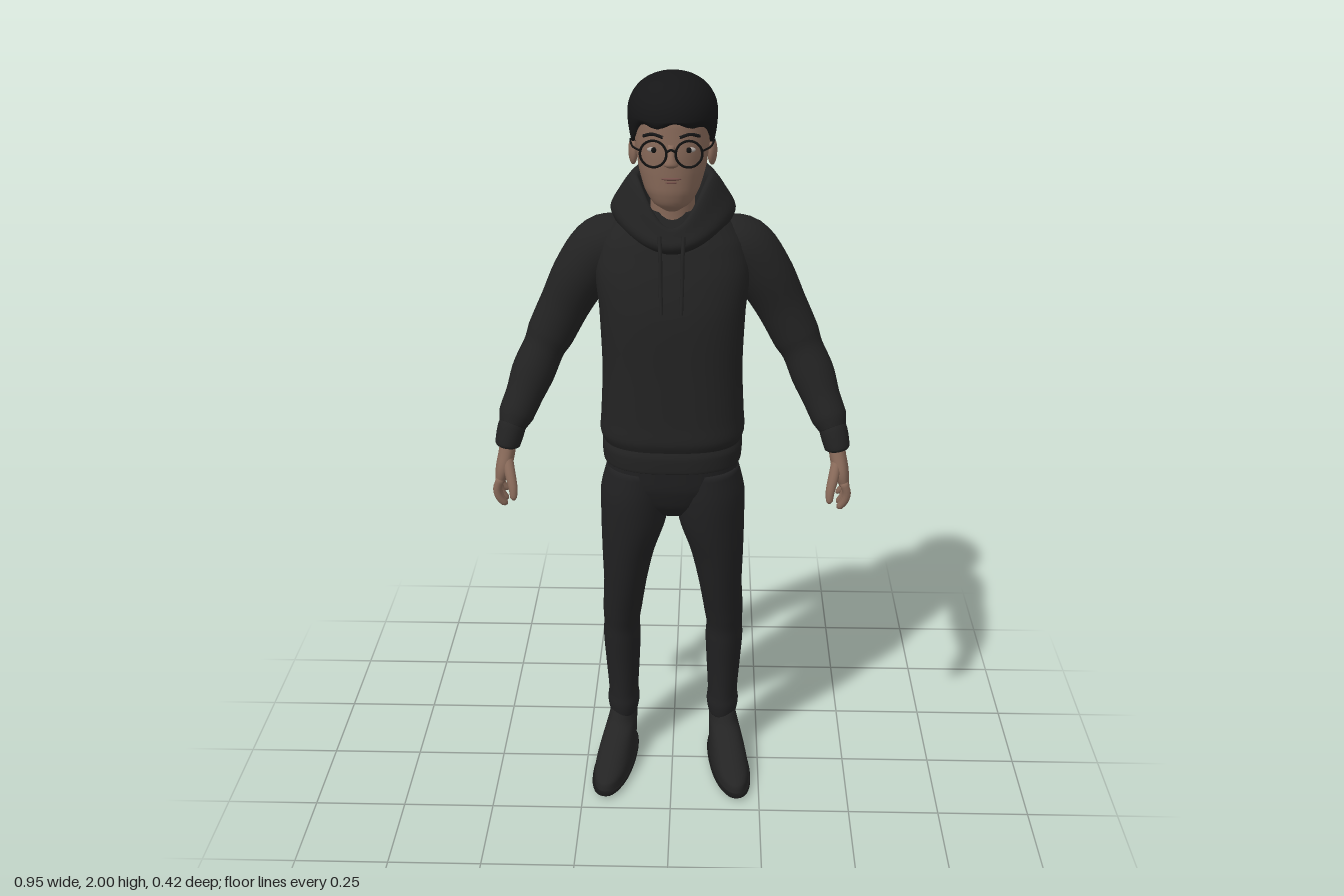
import * as THREE from 'three';

const mat = (name, color) => {
  const m = new THREE.MeshStandardMaterial({ color, side: THREE.DoubleSide });
  m.name = name;
  return m;
};
const V = (x, y, z) => new THREE.Vector3(x, y, z);

// Surface from rings of equal length; the ends can be closed with a fan.
function loft(rings, caps = true) {
  const n = rings[0].length, pos = [], idx = [];
  rings.forEach(r => r.forEach(p => pos.push(p.x, p.y, p.z)));
  for (let j = 0; j < rings.length - 1; j++) {
    for (let i = 0; i < n; i++) {
      const a = j * n + i, b = j * n + (i + 1) % n;
      idx.push(a, b, a + n, b, b + n, a + n);
    }
  }
  if (caps) {
    [0, rings.length - 1].forEach((j, end) => {
      const c = V(0, 0, 0);
      rings[j].forEach(p => c.addScaledVector(p, 1 / n));
      const k = pos.length / 3;
      pos.push(c.x, c.y, c.z);
      for (let i = 0; i < n; i++) {
        const a = j * n + i, b = j * n + (i + 1) % n;
        end ? idx.push(a, b, k) : idx.push(b, a, k);
      }
    });
  }
  const g = new THREE.BufferGeometry();
  g.setAttribute('position', new THREE.Float32BufferAttribute(pos, 3));
  g.setIndex(idx);
  g.computeVertexNormals();
  return g;
}

// Sweep through sections [x, y, z, half width, half depth]; s mirrors x.
function sweep(sections, { s = 1, flat = false, power = 2, sides = 28, steps = 5 } = {}) {
  const path = new THREE.CatmullRomCurve3(sections.map(p => V(p[0] * s, p[1], p[2])));
  const size = new THREE.CatmullRomCurve3(sections.map(p => V(p[3], p[4], 0)));
  const up = Math.sign(sections[sections.length - 1][1] - sections[0][1]);
  const count = (sections.length - 1) * steps, rings = [];
  const bend = v => Math.sign(v) * Math.abs(v) ** (2 / power);
  for (let j = 0; j <= count; j++) {
    const t = j / count, c = path.getPoint(t), r = size.getPoint(t);
    const T = flat ? V(0, up, 0) : path.getTangent(t);
    const U = V(0, 0, 1).addScaledVector(T, -T.z).normalize();
    const W = T.clone().cross(U);
    rings.push(Array.from({ length: sides }, (_, i) => {
      const a = i / sides * Math.PI * 2;
      return c.clone().addScaledVector(U, bend(Math.cos(a)) * r.y)
        .addScaledVector(W, bend(Math.sin(a)) * r.x);
    }));
  }
  return loft(rings);
}

const tube = (pts, r) => new THREE.TubeGeometry(
  new THREE.CatmullRomCurve3(pts.map(p => V(...p))), 16, r, 8);

// Hair cap whose lower edge rises over the face and falls at the nape.
function hairGeometry() {
  const rings = [], n = 64;
  for (let j = 0; j <= 19; j++) {
    const th = Math.min(j, 18) / 18 * 2.6 + 0.02, low = Math.max(0, (th - Math.PI / 2) / 1.05);
    rings.push(Array.from({ length: n }, (_, i) => {
      const a = i / n * Math.PI * 2, f = Math.cos(a);
      const edge = f > 0 ? 1.822 + 0.066 * Math.min(1, f * 1.25) + 0.01 * Math.sin(a * 7 + 1) * f
        : 1.822 - 0.045 * f * f;
      const y = low ? 1.905 - low * (1.905 - edge) : 1.905 + 0.095 * Math.cos(th);
      let r = low ? 1 - (f < 0 ? 0.1 - 0.2 * f : 0.1) * low * low : Math.sin(th) ** 0.9;
      if (j === 19) r *= 0.75;
      return V(Math.sin(a) * 0.112 * r, y, -0.019 + f * 0.141 * r);
    }));
  }
  return loft(rings.reverse());
}

// Lowered hood: tucked base, swollen back, tilted rim and inner lining.
function hoodGeometry() {
  // rows: [half width, front z, back z, front y, side y, back y]
  const rows = [
    [0.125, 0.07, -0.14, 1.56, 1.60, 1.55],
    [0.15, 0.092, -0.18, 1.575, 1.625, 1.575],
    [0.16, 0.098, -0.205, 1.59, 1.655, 1.64],
    [0.14, 0.09, -0.19, 1.61, 1.695, 1.71],
    [0.105, 0.08, -0.145, 1.63, 1.742, 1.78],
    [0.088, 0.07, -0.12, 1.63, 1.74, 1.778],
    [0.075, 0.055, -0.085, 1.60, 1.68, 1.70],
    [0.06, 0.03, -0.06, 1.57, 1.62, 1.62]
  ];
  const n = 48;
  const curves = Array.from({ length: n }, (_, i) => {
    const a = i / n * Math.PI * 2, f = Math.cos(a);
    return new THREE.CatmullRomCurve3(rows.map(([w, zf, zb, yf, ys, yb]) => V(
      Math.sin(a) * w * (1 - 0.12 * Math.max(0, f)),
      ys + ((f > 0 ? yf : yb) - ys) * f * f,
      (zf + zb) / 2 + f * (zf - zb) / 2)));
  });
  return loft(Array.from({ length: 29 }, (_, j) => curves.map(c => c.getPoint(j / 28))), false);
}

export function createModel() {
  const model = new THREE.Group();
  model.name = 'standingMan';
  const skin = mat('skin', 0x866858), cloth = mat('hoodieCloth', 0x222222);
  const denim = mat('trouserCloth', 0x212122), shoe = mat('shoeFabric', 0x242424);
  const sole = mat('shoeSole', 0x191919), hair = mat('hair', 0x161617);
  const frame = mat('glassesFrame', 0x111111), lip = mat('lips', 0x75504a);
  const white = mat('eyeWhite', 0xa8a09a);
  const add = (name, geometry, material) => {
    const m = new THREE.Mesh(geometry, material);
    m.name = name;
    model.add(m);
    return m;
  };
  const ball = (name, m, x, y, z, a, b, c) => {
    const o = add(name, new THREE.SphereGeometry(1, 20, 14), m);
    o.position.set(x, y, z);
    o.scale.set(a, b, c);
    return o;
  };

  // Head and neck
  add('head', sweep([
    [0, 1.675, 0.045, 0.02, 0.03], [0, 1.695, 0.045, 0.048, 0.06],
    [0, 1.73, 0.028, 0.07, 0.09], [0, 1.78, 0.008, 0.085, 0.112],
    [0, 1.84, -0.005, 0.093, 0.124], [0, 1.9, -0.01, 0.094, 0.122],
    [0, 1.96, -0.015, 0.06, 0.08]], { flat: true, power: 2.2 }), skin);
  add('neck', sweep([[0, 1.58, -0.03, 0.07, 0.075], [0, 1.66, -0.02, 0.056, 0.06],
    [0, 1.78, -0.02, 0.058, 0.065]], { flat: true }), skin);
  add('nose', sweep([[0, 1.85, 0.113, 0.008, 0.01], [0, 1.82, 0.121, 0.012, 0.016],
    [0, 1.803, 0.122, 0.018, 0.018], [0, 1.795, 0.115, 0.01, 0.008]], { flat: true }), skin);
  ball('upperLip', lip, 0, 1.767, 0.113, 0.026, 0.005, 0.009);
  ball('lowerLip', lip, 0, 1.758, 0.11, 0.022, 0.006, 0.01);
  add('hair', hairGeometry(), hair);

  // Hoodie body, hem and hood
  add('hoodieBody', sweep([
    [0, 1.04, -0.003, 0.18, 0.145], [0, 1.075, -0.003, 0.192, 0.156],
    [0, 1.12, -0.004, 0.189, 0.152], [0, 1.25, -0.008, 0.184, 0.147],
    [0, 1.4, -0.016, 0.19, 0.145], [0, 1.5, -0.03, 0.2, 0.134],
    [0, 1.575, -0.045, 0.185, 0.12], [0, 1.625, -0.05, 0.145, 0.1],
    [0, 1.66, -0.045, 0.09, 0.075]], { flat: true, power: 2.6, sides: 48 }), cloth);
  add('hoodieHem', sweep([
    [0, 0.985, -0.003, 0.172, 0.14], [0, 0.992, -0.003, 0.184, 0.153],
    [0, 1.03, -0.003, 0.187, 0.154], [0, 1.055, -0.003, 0.18, 0.146]],
    { flat: true, power: 2.6, sides: 48 }), cloth);
  add('hood', hoodGeometry(), cloth);

  // Trouser seat
  add('trouserSeat', sweep([
    [0, 0.82, -0.02, 0.05, 0.07], [0, 0.86, -0.018, 0.13, 0.1],
    [0, 0.92, -0.016, 0.178, 0.12], [0, 1.03, -0.01, 0.172, 0.127]],
    { flat: true, power: 2.4, sides: 40 }), denim);

  // Glasses bridge
  add('glassesBridge', tube([[-0.012, 1.838, 0.14], [0, 1.844, 0.143], [0.012, 1.838, 0.14]], 0.003), frame);

  for (const s of [1, -1]) {
    const side = s > 0 ? 'left' : 'right';
    const limb = (name, pts, m, o = {}) => add(side + name, sweep(pts, { s, ...o }), m);

    // Face details
    ball(side + 'Ear', skin, s * 0.099, 1.805, -0.015, 0.011, 0.034, 0.021).rotation.y = s * -0.3;
    ball(side + 'EyeWhite', white, s * 0.042, 1.836, 0.103, 0.017, 0.007, 0.008);
    ball(side + 'Iris', frame, s * 0.042, 1.836, 0.109, 0.007, 0.007, 0.004);
    add(side + 'Eyebrow', tube([[s * 0.02, 1.868, 0.116], [s * 0.045, 1.874, 0.107],
      [s * 0.068, 1.866, 0.089]], 0.004), hair);
    const rim = add(side + 'GlassesRim', new THREE.TorusGeometry(0.032, 0.003, 8, 36), frame);
    rim.position.set(s * 0.043, 1.833, 0.136);
    rim.rotation.y = s * 0.1;
    add(side + 'GlassesTemple', tube([[s * 0.075, 1.84, 0.132], [s * 0.094, 1.84, 0.09],
      [s * 0.104, 1.838, 0], [s * 0.1, 1.815, -0.035]], 0.0025), frame);

    // Drawstring
    add(side + 'Drawstring', tube([[s * 0.03, 1.615, 0.09], [s * 0.028, 1.57, 0.105],
      [s * 0.027, 1.5, 0.116], [s * 0.025, 1.425, 0.134]], 0.005), cloth);

    // Sleeve with elbow folds and ribbed cuff
    limb('Sleeve', [
      [0.11, 1.565, -0.065, 0.065, 0.08], [0.18, 1.54, -0.068, 0.083, 0.088],
      [0.235, 1.475, -0.068, 0.077, 0.083], [0.285, 1.385, -0.067, 0.067, 0.07],
      [0.325, 1.305, -0.06, 0.063, 0.066], [0.345, 1.265, -0.05, 0.056, 0.06],
      [0.368, 1.215, -0.033, 0.058, 0.06], [0.395, 1.15, -0.003, 0.05, 0.053],
      [0.415, 1.105, 0.02, 0.047, 0.05], [0.426, 1.075, 0.034, 0.035, 0.042]], cloth);
    limb('Cuff', [[0.422, 1.09, 0.028, 0.034, 0.04], [0.428, 1.07, 0.037, 0.037, 0.044],
      [0.438, 1.03, 0.052, 0.033, 0.042], [0.439, 1.025, 0.053, 0.025, 0.032]], cloth);

    // Hand
    limb('Palm', [[0.434, 1.05, 0.046, 0.021, 0.028], [0.44, 1.01, 0.058, 0.022, 0.034],
      [0.449, 0.97, 0.066, 0.021, 0.043], [0.458, 0.937, 0.068, 0.014, 0.04]],
      skin, { power: 2.3 });
    for (let i = 0; i < 4; i++) {
      const z = 0.102 - i * 0.023, len = [0.07, 0.08, 0.075, 0.058][i], y = 0.95;
      limb('Finger' + (i + 1), [[0.455, y, z, 0.011, 0.012],
        [0.464, y - len * 0.4, z + 0.002, 0.011, 0.011],
        [0.459, y - len * 0.75, z + 0.002, 0.01, 0.01],
        [0.447, y - len, z, 0.008, 0.008], [0.443, y - len - 0.005, z, 0.003, 0.003]],
        skin, { sides: 12, steps: 3 });
    }
    limb('Thumb', [[0.436, 1.0, 0.075, 0.014, 0.016], [0.427, 0.97, 0.108, 0.014, 0.015],
      [0.418, 0.94, 0.131, 0.012, 0.012], [0.416, 0.915, 0.141, 0.009, 0.009],
      [0.416, 0.908, 0.143, 0.003, 0.003]], skin, { sides: 14, steps: 3 });

    // Trouser leg with soft folds at knee and ankle
    limb('TrouserLeg', [
      [0.092, 0.96, -0.016, 0.085, 0.115], [0.1, 0.88, -0.015, 0.096, 0.118],
      [0.107, 0.79, -0.015, 0.09, 0.11], [0.123, 0.69, -0.022, 0.073, 0.1],
      [0.134, 0.58, -0.033, 0.06, 0.088], [0.144, 0.48, -0.053, 0.055, 0.083],
      [0.147, 0.43, -0.058, 0.051, 0.076], [0.147, 0.39, -0.064, 0.053, 0.078],
      [0.146, 0.29, -0.069, 0.048, 0.072], [0.145, 0.2, -0.067, 0.043, 0.066],
      [0.145, 0.17, -0.066, 0.046, 0.067], [0.145, 0.135, -0.065, 0.041, 0.062],
      [0.145, 0.125, -0.065, 0.034, 0.052]], denim, { flat: true });

    // Shoe and sole, toes turned out
    const toeOut = g => {
      const p = g.attributes.position;
      for (let i = 0; i < p.count; i++) {
        p.setX(i, p.getX(i) + s * 0.13 * (p.getZ(i) + 0.06));
      }
      g.computeVertexNormals();
      return g;
    };
    add(side + 'Shoe', toeOut(sweep([
      [0.152, 0.015, 0.037, 0.052, 0.166], [0.152, 0.04, 0.033, 0.051, 0.162],
      [0.151, 0.065, 0.005, 0.048, 0.133], [0.149, 0.09, -0.025, 0.044, 0.1],
      [0.147, 0.115, -0.052, 0.04, 0.07], [0.146, 0.15, -0.062, 0.034, 0.054]],
      { s, flat: true, power: 2.2, sides: 36 })), shoe);
    add(side + 'Sole', toeOut(sweep([
      [0.152, 0, 0.037, 0.05, 0.162], [0.152, 0.006, 0.037, 0.053, 0.168],
      [0.152, 0.018, 0.037, 0.053, 0.168]],
      { s, flat: true, power: 2.2, sides: 36, steps: 2 })), sole);
  }
  return model;
}
